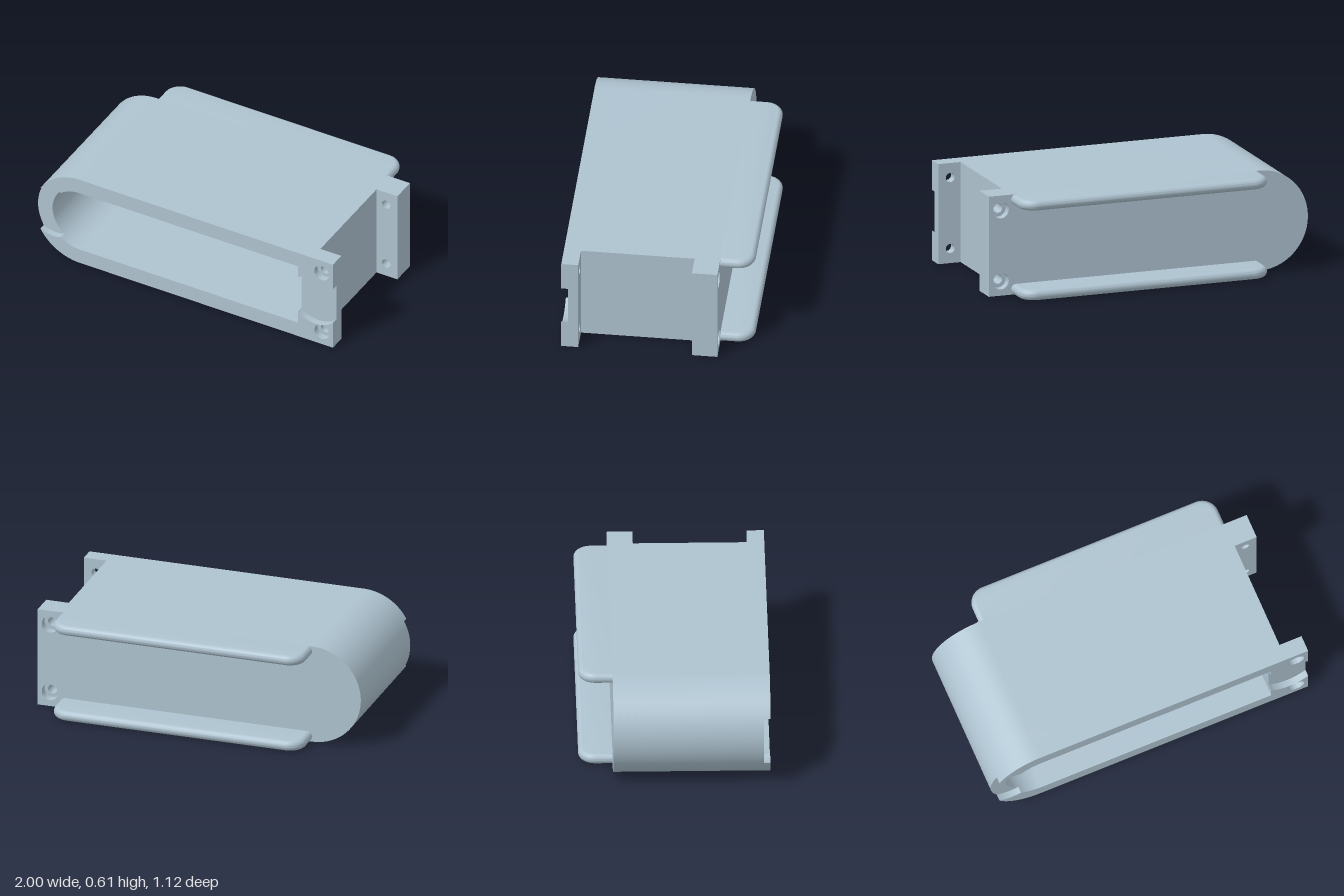
import * as THREE from 'three';
import { toCreasedNormals } from 'three/addons/utils/BufferGeometryUtils.js';

// Shapes are drawn around the mid-height axis, then lifted by R
const R = 0.3025, CX = -0.7;          // outer radius and centre of the rounded end
const RI = 0.205, XI = 0.765;         // cavity radius and flat end
const RN = 0.17, NL = -0.88, NR = 0.882; // finger notch radius and centres
const SX = 0.925, SY = 0.2145;        // screw positions
const HOLE = 0.028, BORE = 0.05;

export function createModel() {
  const group = new THREE.Group();
  const material = new THREE.MeshStandardMaterial({ color: 0xaec3d0 });
  material.name = 'paleBlueGrey';

  const add = (name, geometry) => {
    const mesh = new THREE.Mesh(toCreasedNormals(geometry, 0.5), material);
    mesh.name = name;
    group.add(mesh);
    return mesh;
  };

  // Outline with one rounded end on the left and a flat end on the right
  const trace = (path, r, xEnd) => {
    path.moveTo(xEnd, -r);
    path.lineTo(xEnd, r);
    path.lineTo(CX, r);
    path.absarc(CX, 0, r, Math.PI / 2, Math.PI * 1.5, false);
    path.closePath();
    return path;
  };
  const circle = (x, y, r) => new THREE.Path().absarc(x, y, r, 0, Math.PI * 2, false);

  // Slab of the body between two depths
  const slab = (name, shape, z0, z1) => {
    const g = new THREE.ExtrudeGeometry(shape, { depth: z1 - z0, bevelEnabled: false, curveSegments: 40 });
    add(name, g.translate(0, R, z0));
  };
  const section = (xEnd, cavity, screwRadius) => {
    const shape = trace(new THREE.Shape(), R, xEnd);
    if (cavity) shape.holes.push(trace(new THREE.Path(), RI, XI));
    if (screwRadius) for (const s of [1, -1]) shape.holes.push(circle(SX, s * SY, screwRadius));
    return shape;
  };

  slab('backPlateOuter', section(1, false, BORE), -0.36, -0.31);
  slab('backPlateInner', section(1, false, HOLE), -0.31, -0.26);
  slab('backFlange', section(1, true, HOLE), -0.26, -0.21);
  slab('bodyShell', section(0.86, true, 0), -0.21, 0.46);
  slab('frontFlange', section(1, true, HOLE), 0.46, 0.52);

  // Front rim halves, parted by the round finger notches
  const meet = (r) => { // where a rounded-end circle crosses the left notch
    const d = CX - NL, a = (r * r - RN * RN + d * d) / (2 * d);
    return [CX - a, Math.sqrt(r * r - a * a)];
  };
  const [ox, oy] = meet(R), [ix, iy] = meet(RI);
  const notchY = (x) => Math.sqrt(RN * RN - (x - NR) ** 2);
  for (const s of [1, -1]) {
    const cw = s > 0;
    const arc = (shape, cx, r, a0, a1, clockwise) =>
      shape.absarc(cx, 0, r, s * a0, s * a1, clockwise);
    const rim = new THREE.Shape();
    rim.moveTo(ox, s * oy);
    arc(rim, CX, R, Math.atan2(oy, ox - CX), Math.PI / 2, cw);
    rim.lineTo(1, s * R);
    rim.lineTo(1, s * notchY(1));
    arc(rim, NR, RN, Math.atan2(notchY(1), 1 - NR), Math.atan2(notchY(XI), XI - NR), !cw);
    rim.lineTo(XI, s * RI);
    rim.lineTo(CX, s * RI);
    arc(rim, CX, RI, Math.PI / 2, Math.atan2(iy, ix - CX), !cw);
    arc(rim, NL, RN, Math.atan2(iy, ix - NL), Math.atan2(oy, ox - NL), !cw);
    rim.holes.push(circle(SX, s * SY, BORE));
    slab(s > 0 ? 'upperFrontRim' : 'lowerFrontRim', rim, 0.52, 0.56);
  }

  // Rounded rails projecting from the back, flush with top and bottom
  const b = 0.031, x0 = -0.7 + b, x1 = 0.86 - b, near = 0.36, far = 0.56 - b, c = 0.07;
  for (const [name, y] of [['upperRail', 2 * R - 2 * b - 0.001], ['lowerRail', 0]]) {
    const rail = new THREE.Shape();
    rail.moveTo(x0, near);
    rail.lineTo(x1, near);
    rail.lineTo(x1, far - c);
    rail.absarc(x1 - c, far - c, c, 0, Math.PI / 2, false);
    rail.lineTo(x0 + c, far);
    rail.absarc(x0 + c, far - c, c, Math.PI / 2, Math.PI, false);
    rail.closePath();
    const g = new THREE.ExtrudeGeometry(rail, {
      depth: 0.001, bevelThickness: b, bevelSize: b, bevelSegments: 8, curveSegments: 12,
    });
    add(name, g.rotateX(-Math.PI / 2).translate(0, y + b, 0));
  }

  return group;
}
